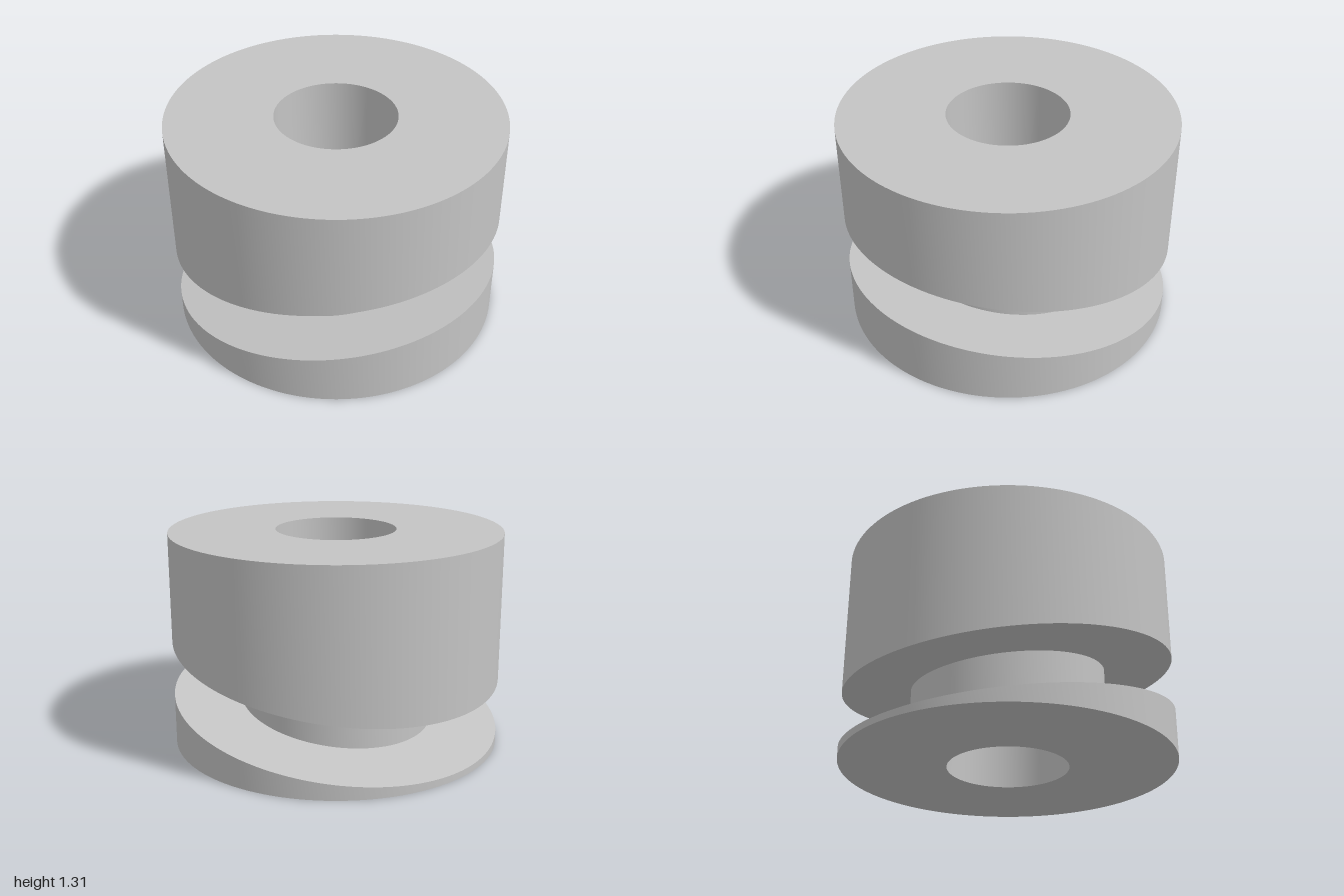
import * as THREE from 'three';
import { toCreasedNormals } from 'three/addons/utils/BufferGeometryUtils.js';

const HEIGHT = 1.307;
const OUTER = 1, CORE = 0.59, BORE = 0.363;
const GROOVE_LOW = 0.206, GROOVE_HIGH = 0.545; // groove walls at the axis
const SLOPE = 0.117; // rise of the groove towards +x and towards +z

// Spins a profile and shears every point between the two flat ends onto the tilted groove
function tiltedLathe(profile) {
  const points = profile.map(([r, y]) => new THREE.Vector2(r, y));
  const geometry = new THREE.LatheGeometry(points, 128);
  const pos = geometry.attributes.position;
  for (let i = 0; i < pos.count; i++) {
    const y = pos.getY(i);
    if (y > 0.001 && y < HEIGHT - 0.001) {
      pos.setY(i, y + SLOPE * (pos.getX(i) + pos.getZ(i)));
    }
  }
  return toCreasedNormals(geometry, 0.6);
}

export function createModel() {
  const group = new THREE.Group();
  group.name = 'groovedBushing';
  const grey = new THREE.MeshStandardMaterial({ color: 0xc4c4c4 });
  grey.name = 'plain grey';

  const parts = {
    // Thin flange with a flat base and a slanted top
    lowerFlange: [[BORE, 0], [OUTER, 0], [OUTER, GROOVE_LOW], [CORE, GROOVE_LOW]],
    // Narrow neck at the bottom of the groove
    neck: [[CORE, GROOVE_LOW], [CORE, GROOVE_HIGH]],
    // Tall body with a slanted underside and a flat top
    upperBody: [[CORE, GROOVE_HIGH], [OUTER, GROOVE_HIGH], [OUTER, HEIGHT], [BORE, HEIGHT]],
    // Through hole, facing the axis
    bore: [[BORE, HEIGHT], [BORE, 0]],
  };
  for (const [name, profile] of Object.entries(parts)) {
    const mesh = new THREE.Mesh(tiltedLathe(profile), grey);
    mesh.name = name;
    group.add(mesh);
  }
  return group;
}
